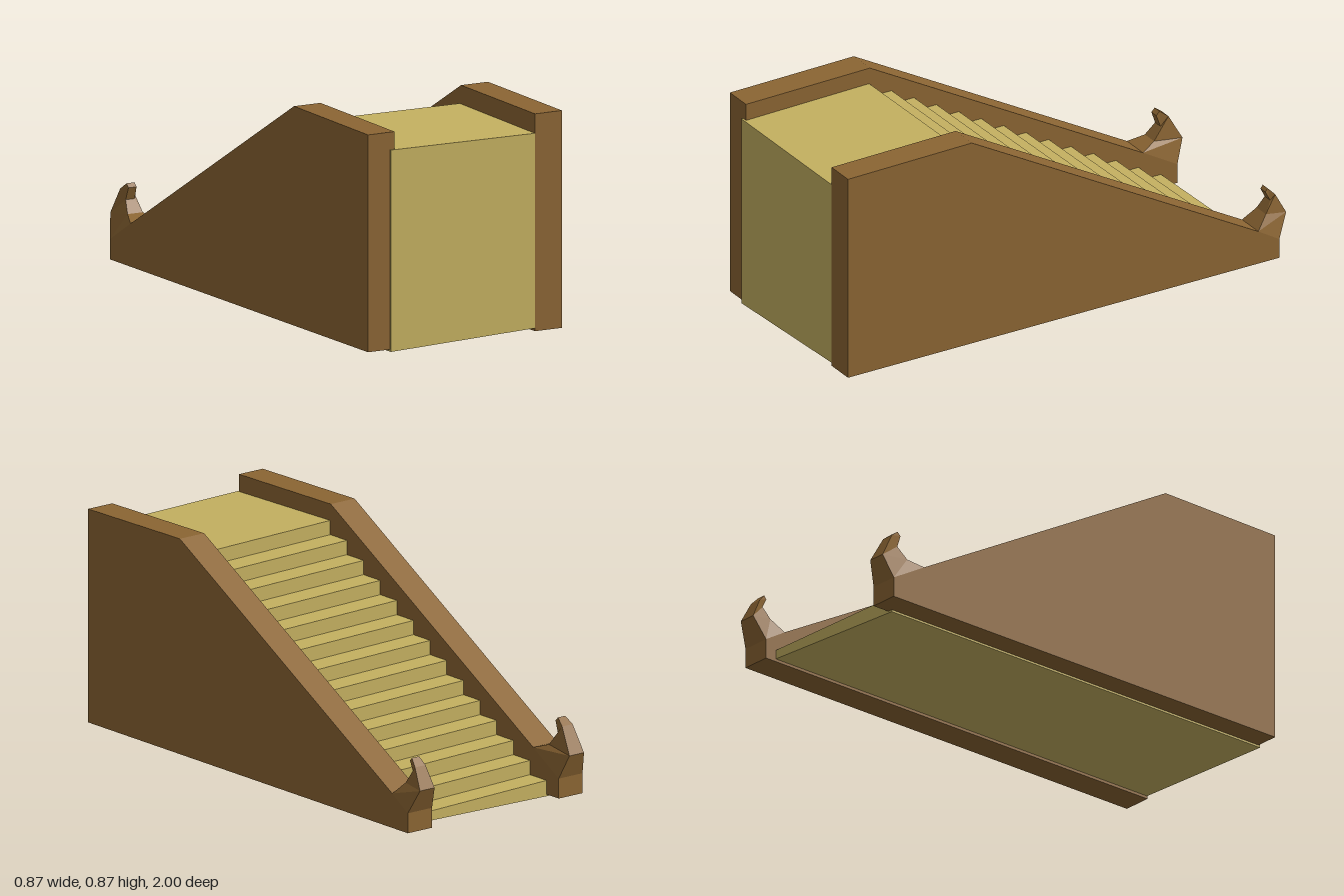
import * as THREE from 'three';

const wood = new THREE.MeshStandardMaterial({ color: 0x8b6533, flatShading: true });
const stone = new THREE.MeshStandardMaterial({ color: 0xc4b060, flatShading: true });

// Extrude a (z, y) side profile across x, from x0 to x1
function sideExtrude(points, x0, x1) {
  const shape = new THREE.Shape(points.map(([z, y]) => new THREE.Vector2(z, y)));
  const geo = new THREE.ExtrudeGeometry(shape, { depth: x1 - x0, bevelEnabled: false });
  geo.rotateY(-Math.PI / 2);
  geo.translate(x1, 0, 0);
  return geo;
}

// Staircase with landing, slightly skewed by hand
function makeStairs() {
  const steps = 14, first = -0.893, run = 0.1017, rise = 0.057;
  const pts = [[0.995, 0.012], [0.995, 0.792]];
  for (let i = steps - 1; i >= 0; i--) {
    const z = first + i * run;
    pts.push([z, 0.005 + (i + 1) * rise], [z, i ? 0.005 + i * rise : 0.012]);
  }
  const geo = sideExtrude(pts.reverse(), -0.336, 0.313);
  const p = geo.attributes.position;
  for (let i = 0; i < p.count; i++) {
    const x = p.getX(i), y = p.getY(i), z = p.getZ(i);
    p.setY(i, y + x * (y < 0.02 ? 0.03 : -0.012));
    p.setZ(i, z + x * (-0.0275 + 0.0125 * z));
  }
  geo.computeVertexNormals();
  const mesh = new THREE.Mesh(geo, stone);
  mesh.name = 'stairs';
  return mesh;
}

// Curled post: each section is [front z, front y, front half width, back z, back y, back half width]
function makeCurl(sections, cx) {
  const pos = [], idx = [];
  for (const [zf, yf, wf, zb, yb, wb] of sections) {
    pos.push(cx - wf, yf, zf, cx + wf, yf, zf, cx + wb, yb, zb, cx - wb, yb, zb);
  }
  for (let s = 0; s < sections.length - 1; s++) {
    for (let k = 0; k < 4; k++) {
      const a = s * 4 + k, b = s * 4 + (k + 1) % 4;
      idx.push(a, a + 4, b, b, a + 4, b + 4);
    }
  }
  const t = (sections.length - 1) * 4;
  idx.push(t, t + 2, t + 1, t, t + 3, t + 2);
  const geo = new THREE.BufferGeometry();
  geo.setAttribute('position', new THREE.Float32BufferAttribute(pos, 3));
  geo.setIndex(idx);
  const flat = geo.toNonIndexed();
  flat.computeVertexNormals();
  return flat;
}

// Side wall with its sloping rail and curled end post
function makeSide(name, x0, x1, curl) {
  const group = new THREE.Group();
  group.name = name;
  const [zf, yf, , zb, yb] = curl[0];
  const wall = new THREE.Mesh(sideExtrude([
    [zf, 0.01], [0.992, 0.01], [0.992, 0.865], [0.433, 0.873], [zb, yb], [zf, yf],
  ], x0, x1), wood);
  wall.name = 'wall';
  const post = new THREE.Mesh(makeCurl(curl, (x0 + x1) / 2), wood);
  post.name = 'curledPost';
  group.add(wall, post);
  return group;
}

export function createModel() {
  const model = new THREE.Group();
  model.name = 'staircase';
  model.add(
    makeStairs(),
    makeSide('leftSide', 0.313, 0.433, [
      [-0.955, 0.09, 0.06, -0.86, 0.148, 0.06],
      [-1.0, 0.185, 0.036, -0.91, 0.198, 0.034],
      [-0.957, 0.268, 0.026, -0.938, 0.245, 0.02],
      [-0.928, 0.298, 0.018, -0.917, 0.285, 0.018],
    ]),
    makeSide('rightSide', -0.433, -0.315, [
      [-0.955, 0.09, 0.059, -0.8, 0.18, 0.059],
      [-0.992, 0.185, 0.036, -0.865, 0.202, 0.034],
      [-0.935, 0.288, 0.026, -0.903, 0.25, 0.02],
      [-0.9, 0.315, 0.018, -0.885, 0.3, 0.018],
    ]),
  );
  return model;
}
